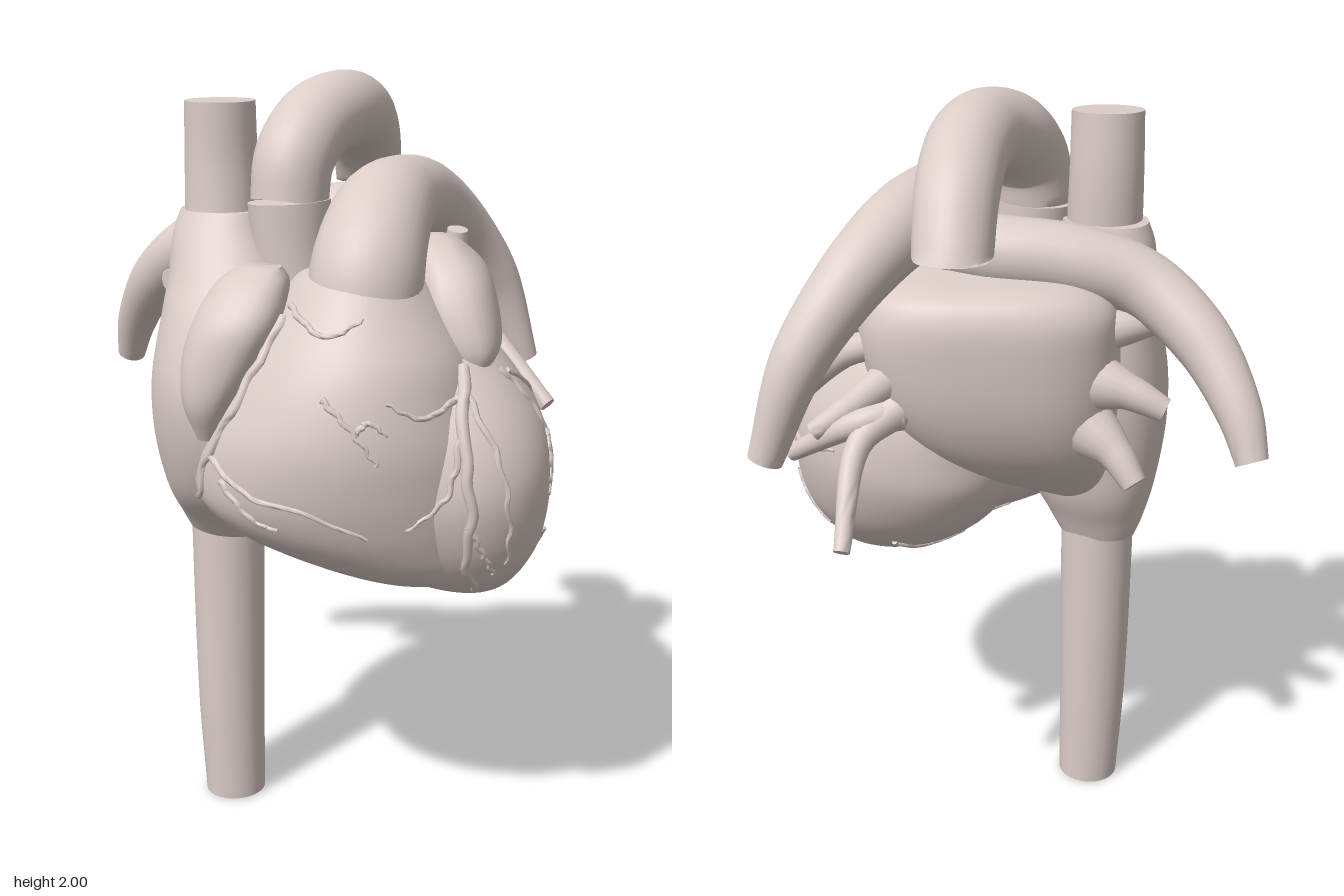
import * as THREE from 'three';
import { toCreasedNormals } from 'three/addons/utils/BufferGeometryUtils.js';

const material = new THREE.MeshStandardMaterial({ color: 0xdccdc8 });
const V = (x, y, z) => new THREE.Vector3(x, y, z);

// Closed skin over a list of rings, each ring an array of points.
function skin(name, rings) {
  const m = rings[0].length, pos = [], idx = [];
  for (const ring of rings) for (const p of ring) pos.push(p.x, p.y, p.z);
  for (let i = 0; i < rings.length - 1; i++) {
    for (let j = 0; j < m; j++) {
      const a = i * m + j, b = i * m + (j + 1) % m;
      idx.push(a, a + m, b, b, a + m, b + m);
    }
  }
  for (const end of [0, rings.length - 1]) {
    const c = rings[end].reduce((s, p) => s.add(p), V(0, 0, 0)).divideScalar(m);
    const k = pos.length / 3;
    pos.push(c.x, c.y, c.z);
    for (let j = 0; j < m; j++) {
      const a = end * m + j, b = end * m + (j + 1) % m;
      if (end === 0) idx.push(k, a, b); else idx.push(k, b, a);
    }
  }
  const g = new THREE.BufferGeometry();
  g.setAttribute('position', new THREE.Float32BufferAttribute(pos, 3));
  g.setIndex(idx);
  const mesh = new THREE.Mesh(toCreasedNormals(g, 0.9), material);
  mesh.name = name;
  return mesh;
}

// Rounded body from horizontal sections [y, xMin, xMax, zMin, zMax], bottom to top.
// skew pushes the +x side forward and the -x side back.
function body(name, sections, { power = 2, skew = 0, steps = 40, sides = 48 } = {}) {
  const mid = new THREE.CatmullRomCurve3(sections.map(([y, a, b, c, d]) => V((a + b) / 2, y, (c + d) / 2)), false, 'catmullrom');
  const half = new THREE.CatmullRomCurve3(sections.map(([, a, b, c, d]) => V((b - a) / 2, 0, (d - c) / 2)), false, 'catmullrom');
  const bend = v => Math.sign(v) * Math.abs(v) ** (2 / power);
  const rings = [];
  for (let i = 0; i <= steps; i++) {
    const c = mid.getPoint(i / steps), r = half.getPoint(i / steps);
    rings.push(Array.from({ length: sides }, (_, j) => {
      const a = j / sides * Math.PI * 2, dx = r.x * bend(Math.cos(a));
      return V(c.x + dx, c.y, c.z + r.z * bend(Math.sin(a)) + skew * dx);
    }));
  }
  return skin(name, rings);
}

// Tapering vessel through points [x, y, z, radius]; floorY trims it level.
function vessel(name, points, steps = 32, sides = 28, floorY = -1) {
  const curve = new THREE.CatmullRomCurve3(points.map(p => V(p[0], p[1], p[2])));
  const { normals, binormals } = curve.computeFrenetFrames(steps);
  const rings = [];
  for (let i = 0; i <= steps; i++) {
    const c = curve.getPointAt(i / steps);
    const t = curve.getUtoTmapping(i / steps) * (points.length - 1);
    const k = Math.min(Math.floor(t), points.length - 2);
    const r = THREE.MathUtils.lerp(points[k][3], points[k + 1][3], t - k);
    rings.push(Array.from({ length: sides }, (_, j) => {
      const a = j / sides * Math.PI * 2;
      const p = c.clone().addScaledVector(normals[i], r * Math.cos(a)).addScaledVector(binormals[i], -r * Math.sin(a));
      p.y = Math.max(p.y, floorY);
      return p;
    }));
  }
  return skin(name, rings);
}

export function createModel() {
  const heart = new THREE.Group();
  heart.name = 'heart';

  // Ventricles
  const rightVentricle = body('rightVentricle', [
    [0.745, 0.23, 0.34, 0.16, 0.26], [0.78, 0.1, 0.44, 0.05, 0.39], [0.83, -0.05, 0.47, 0, 0.46],
    [0.9, -0.21, 0.48, -0.05, 0.51], [0.97, -0.285, 0.48, -0.08, 0.54], [1.05, -0.295, 0.47, -0.1, 0.56],
    [1.15, -0.27, 0.45, -0.1, 0.57], [1.25, -0.22, 0.42, -0.1, 0.555], [1.35, -0.16, 0.39, -0.08, 0.52],
    [1.45, -0.09, 0.33, -0.05, 0.455], [1.52, -0.04, 0.28, 0, 0.405], [1.54, 0.0, 0.25, 0.05, 0.37]]);
  const leftVentricle = body('leftVentricle', [
    [0.718, 0.33, 0.42, 0.11, 0.2], [0.738, 0.24, 0.49, 0, 0.31], [0.79, 0.12, 0.54, -0.09, 0.39],
    [0.88, 0.02, 0.585, -0.185, 0.45], [1, -0.04, 0.603, -0.255, 0.485], [1.1, -0.04, 0.6, -0.27, 0.48],
    [1.2, -0.03, 0.565, -0.265, 0.45], [1.3, 0, 0.495, -0.235, 0.39], [1.4, 0.05, 0.4, -0.17, 0.29],
    [1.48, 0.12, 0.3, -0.08, 0.18]], { power: 2.15, skew: 0.27 });

  // Atria and their ear-shaped pouches
  const rightAtrium = body('rightAtrium', [
    [0.8, -0.35, -0.14, -0.08, 0.12], [0.85, -0.37, -0.11, -0.1, 0.17], [0.95, -0.4, -0.05, -0.14, 0.29],
    [1.1, -0.425, 0, -0.16, 0.37], [1.25, -0.425, 0, -0.17, 0.39], [1.4, -0.4, -0.04, -0.16, 0.33],
    [1.5, -0.385, -0.07, -0.14, 0.25], [1.6, -0.375, -0.12, -0.1, 0.17], [1.66, -0.355, -0.14, -0.085, 0.13]], { power: 2.2, skew: 0.2 });
  const rightAuricle = body('rightAuricle', [
    [1.14, -0.27, -0.22, 0.32, 0.38], [1.23, -0.31, -0.17, 0.18, 0.425], [1.33, -0.31, -0.11, 0.17, 0.435],
    [1.43, -0.28, -0.06, 0.15, 0.425], [1.51, -0.23, -0.05, 0.14, 0.37], [1.55, -0.17, -0.07, 0.2, 0.31]],
    { power: 2.4, skew: 0.1, steps: 20, sides: 28 });
  heart.add(rightVentricle, leftVentricle, rightAtrium, rightAuricle,
    body('leftAtrium', [
      [0.95, -0.24, -0.12, -0.12, 0], [1.03, -0.26, 0.08, -0.22, 0.02], [1.12, -0.275, 0.22, -0.305, 0.05],
      [1.25, -0.285, 0.32, -0.36, 0.1], [1.4, -0.285, 0.36, -0.38, 0.1], [1.5, -0.27, 0.35, -0.375, 0.08],
      [1.555, -0.2, 0.3, -0.33, 0.05], [1.58, -0.08, 0.2, -0.2, 0]], { power: 2.8 }),
    body('leftAuricle', [
      [1.3, 0.37, 0.43, 0.22, 0.32], [1.36, 0.3, 0.47, -0.03, 0.335], [1.45, 0.26, 0.46, -0.1, 0.315],
      [1.53, 0.25, 0.43, -0.1, 0.27], [1.585, 0.26, 0.37, -0.04, 0.2], [1.605, 0.28, 0.33, 0.02, 0.12]],
      { power: 2.7, steps: 20, sides: 28 }));

  // Great veins
  heart.add(
    vessel('upperGreatVein', [[-0.245, 1.6, 0.03, 0.097], [-0.247, 1.78, 0.02, 0.093], [-0.247, 1.93, 0.025, 0.09]], 10),
    vessel('lowerGreatVein', [[-0.238, 0, 0.02, 0.084], [-0.245, 0.25, 0.02, 0.092], [-0.247, 0.5, 0.018, 0.096], [-0.247, 0.84, 0.018, 0.099]], 16));

  // Aorta: root below the collar, arch trimmed level at its far end
  heart.add(
    vessel('aorticRoot', [[-0.03, 1.38, 0.11, 0.09], [-0.058, 1.55, 0.1, 0.1], [-0.066, 1.69, 0.1, 0.105]], 10),
    vessel('aorticArch', [
      [-0.066, 1.68, 0.1, 0.098], [-0.055, 1.79, 0.08, 0.101], [-0.012, 1.87, 0, 0.102], [0.045, 1.9, -0.1, 0.1],
      [0.083, 1.885, -0.23, 0.1], [0.102, 1.81, -0.37, 0.097], [0.108, 1.69, -0.46, 0.092], [0.108, 1.63, -0.495, 0.086]], 44, 32, 1.69));

  // Pulmonary arteries
  heart.add(
    vessel('pulmonaryTrunk', [
      [0.13, 1.4, 0.28, 0.14], [0.138, 1.54, 0.262, 0.14], [0.165, 1.65, 0.13, 0.128], [0.21, 1.685, -0.03, 0.108],
      [0.275, 1.665, -0.2, 0.098], [0.37, 1.575, -0.335, 0.083], [0.475, 1.42, -0.415, 0.068], [0.565, 1.18, -0.435, 0.043]], 48, 32),
    vessel('rightPulmonaryArtery', [
      [0.2, 1.64, -0.08, 0.085], [0.03, 1.62, -0.15, 0.09], [-0.16, 1.6, -0.165, 0.09], [-0.33, 1.55, -0.18, 0.084],
      [-0.47, 1.44, -0.265, 0.074], [-0.56, 1.29, -0.365, 0.056], [-0.592, 1.18, -0.415, 0.04]], 40));

  // Pulmonary veins
  const veins = [
    [[0.36, 1.59, -0.15, 0.028], [0.35, 1.5, -0.17, 0.036], [0.3, 1.42, -0.24, 0.045]],
    [[0.28, 1.42, -0.24, 0.045], [0.39, 1.37, -0.2, 0.032], [0.61, 1.14, -0.04, 0.022]],
    [[0.26, 1.25, -0.28, 0.05], [0.36, 1.23, -0.32, 0.034], [0.54, 1.11, -0.22, 0.022]],
    [[0.26, 1.26, -0.28, 0.05], [0.35, 1.19, -0.35, 0.032], [0.38, 0.98, -0.52, 0.02]],
    [[0.26, 1.35, -0.28, 0.05], [0.38, 1.26, -0.29, 0.034], [0.47, 1.2, -0.3, 0.024]],
    [[-0.18, 1.33, -0.24, 0.09], [-0.3, 1.31, -0.29, 0.045], [-0.39, 1.27, -0.31, 0.03]],
    [[-0.18, 1.22, -0.24, 0.09], [-0.27, 1.16, -0.31, 0.045], [-0.32, 1.09, -0.35, 0.032]],
    [[-0.18, 1.43, -0.22, 0.06], [-0.32, 1.45, -0.2, 0.04], [-0.42, 1.45, -0.11, 0.028]]];
  veins.forEach((p, i) => heart.add(vessel('pulmonaryVein' + (i + 1), p, 14, 16)));

  // Coronary vessels: flat paths dropped onto the chambers from one direction
  const ray = new THREE.Raycaster();
  const drop = {
    front: [p => V(p.x, p.y, 2), V(0, 0, -1)],
    side: [p => V(2, p.y, p.x), V(-1, 0, 0)],
    below: [p => V(p.x, -1, p.y), V(0, 1, 0)]
  };
  const coronary = (from, radius, points) => {
    const flat = new THREE.SplineCurve(points.map(p => new THREE.Vector2(...p)));
    const [origin, dir] = drop[from], path = [];
    flat.getPoints(14).forEach((p, i) => {
      // small sideways waver
      p.x += 0.005 * Math.sin(i * 2.1);
      ray.set(origin(p), dir);
      const hit = ray.intersectObjects([rightVentricle, leftVentricle, rightAtrium, rightAuricle])[0];
      if (hit) path.push([...hit.point.toArray(), radius * (1 - 0.035 * i)]);
    });
    if (path.length > 2) heart.add(vessel('coronaryVessel', path, 28, 8));
  };
  coronary('front', 0.017, [[-0.06, 1.44], [-0.1, 1.36], [-0.17, 1.23], [-0.24, 1.1], [-0.27, 0.98]]);
  coronary('front', 0.017, [[0.37, 1.33], [0.38, 1.15], [0.4, 1], [0.39, 0.87], [0.42, 0.77]]);
  const branches = {
    front: [
      [[0.37, 1.2], [0.34, 1.05], [0.25, 0.97]], [[0.38, 1.28], [0.46, 1.13], [0.49, 0.98], [0.49, 0.86]],
      [[-0.23, 1.11], [-0.12, 1.04], [0, 1.02], [0.16, 0.95]], [[-0.04, 1.47], [0.05, 1.42], [0.14, 1.46]],
      [[0.05, 1.29], [0.12, 1.22], [0.18, 1.14]], [[0.36, 1.27], [0.28, 1.24], [0.2, 1.28]],
      [[0.39, 0.98], [0.43, 0.9], [0.46, 0.83]], [[-0.2, 1.06], [-0.12, 0.98], [-0.05, 0.96]],
      [[0.13, 1.22], [0.16, 1.24], [0.2, 1.21]]],
    side: [
      [[0.28, 1.31], [0.25, 1.18], [0.24, 1.03]], [[0.25, 1.3], [0.16, 1.25], [0.08, 1.2], [0.1, 1.1]],
      [[0.24, 1.15], [0.29, 1.08], [0.3, 1]], [[0, 1.08], [-0.08, 1.07], [-0.18, 1.1]],
      [[0.12, 0.92], [0.06, 0.85], [0.02, 0.8]], [[0.26, 0.9], [0.2, 0.82], [0.16, 0.77]]],
    below: [[[0.42, 0.24], [0.2, 0.12], [0, 0.02]], [[0.3, -0.12], [0.2, -0.05], [0.12, -0.05]]]
  };
  for (const from in branches) branches[from].forEach(p => coronary(from, 0.009, p));

  return heart;
}
